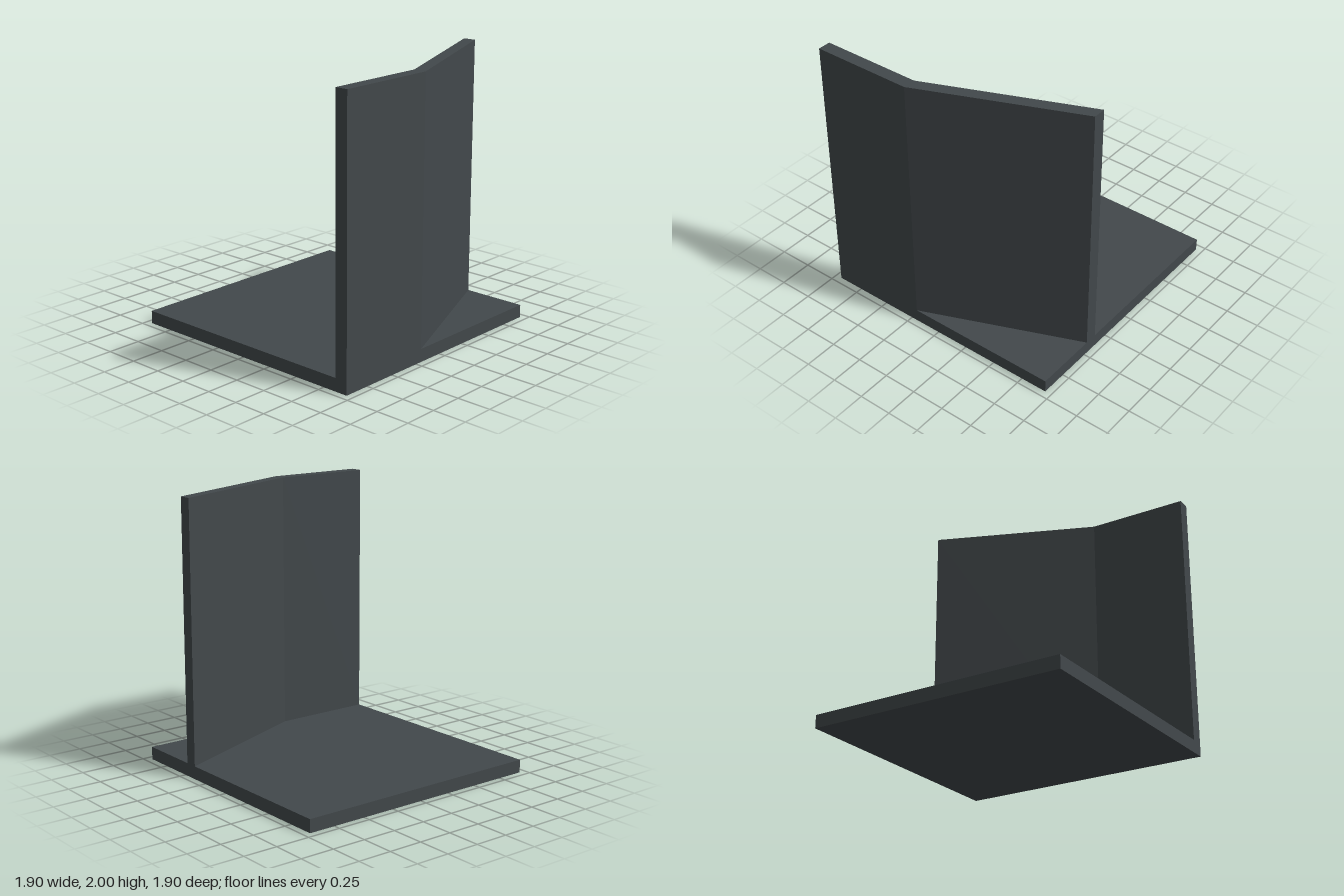
import * as THREE from 'three';

export function createModel() {
  const group = new THREE.Group();
  const slate = new THREE.MeshStandardMaterial({ color: 0x42484b });
  slate.name = 'darkSlate';

  const half = 0.95, slab = 0.095, height = 2;

  // Extrude a floor plan of [x, z] points upward from y0 to y1
  function addPlan(name, plan, y0, y1) {
    const shape = new THREE.Shape(plan.map(([x, z]) => new THREE.Vector2(x, -z)));
    const geometry = new THREE.ExtrudeGeometry(shape, { depth: y1 - y0, bevelEnabled: false });
    geometry.rotateX(-Math.PI / 2);
    geometry.translate(0, y0, 0);
    const mesh = new THREE.Mesh(geometry, slate);
    mesh.name = name;
    group.add(mesh);
  }

  // Square floor slab
  addPlan('floor', [[-half, -half], [half, -half], [half, half], [-half, half]], 0, slab);

  // Upright wall: straight along the front edge, then bent back
  const outer = [[-half, half], [-0.2, half], [half, 0.473]];
  const inner = outer.map(([x, z]) => [x, z - slab]).reverse();
  addPlan('bentWall', [...outer, ...inner], slab, height);

  return group;
}
